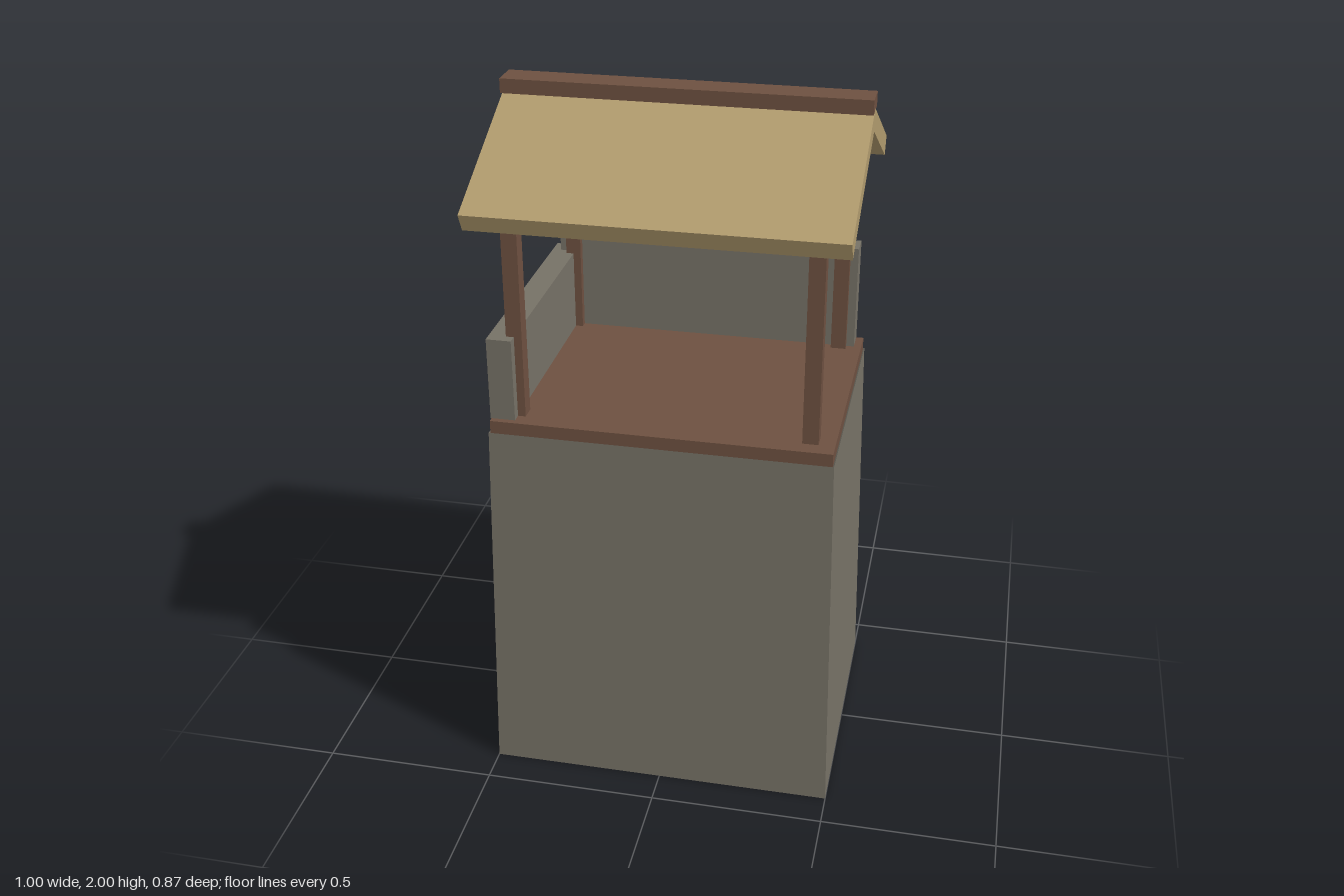
import * as THREE from 'three';

export function createModel() {
  const model = new THREE.Group();
  model.name = 'watchtower';

  const material = (name, color, side = THREE.FrontSide) => {
    const m = new THREE.MeshStandardMaterial({ color, side, flatShading: true });
    m.name = name;
    return m;
  };
  const stone = material('stone', 0x767166, THREE.DoubleSide);
  const wood = material('wood', 0x6d5040);
  const thatch = material('thatch', 0xb09a6d);

  const add = (name, geometry, mat) => {
    const mesh = new THREE.Mesh(geometry, mat);
    mesh.name = name;
    model.add(mesh);
    return mesh;
  };
  // Box given by its min and max corners
  const box = (name, mat, [x0, y0, z0], [x1, y1, z1]) =>
    add(name, new THREE.BoxGeometry(x1 - x0, y1 - y0, z1 - z0), mat)
      .position.set((x0 + x1) / 2, (y0 + y1) / 2, (z0 + z1) / 2);

  // Tapered tower shell, open underneath
  const baseHeight = 1.105;
  const shell = new THREE.CylinderGeometry(Math.SQRT1_2, Math.SQRT1_2, baseHeight, 4, 1, true);
  shell.rotateY(Math.PI / 4);
  shell.translate(0, baseHeight / 2, 0);
  const p = shell.attributes.position;
  for (let i = 0; i < p.count; i++) {
    const top = p.getY(i) > baseHeight / 2;
    p.setX(i, Math.sign(p.getX(i)) * (top ? 0.476 : 0.5));
    p.setZ(i, Math.sign(p.getZ(i)) * (top ? 0.376 : 0.4));
  }
  shell.computeVertexNormals();
  add('towerBase', shell, stone);

  // Deck and the two parapet walls
  box('deck', wood, [-0.472, 1.1, -0.372], [0.472, 1.14, 0.372]);
  box('backParapet', stone, [-0.45, 1.14, -0.374], [0.45, 1.452, -0.305]);
  box('rightParapet', stone, [-0.475, 1.14, -0.355], [-0.405, 1.378, 0.355]);

  // Corner posts
  for (const [sx, side] of [[-1, 'Right'], [1, 'Left']]) {
    for (const [sz, end] of [[-1, 'back'], [1, 'front']]) {
      const x = sx * 0.405, z = sz * 0.305, h = 0.022;
      box(`${end}${side}Post`, wood, [x - h, 1.14, z - h], [x + h, 1.755, z + h]);
    }
  }

  // Two roof slopes, extruded along x from a slab outline in (z, y)
  for (const [s, name] of [[1, 'frontRoofSlope'], [-1, 'backRoofSlope']]) {
    const outline = [[0, 1.967], [0.435, 1.757], [0.409, 1.707], [0, 1.904]];
    const shape = new THREE.Shape(outline.map(([z, y]) => new THREE.Vector2(-s * z, y)));
    const slab = new THREE.ExtrudeGeometry(shape, { depth: 1, bevelEnabled: false });
    slab.translate(0, 0, -0.5);
    slab.rotateY(Math.PI / 2);
    add(name, slab, thatch);
  }

  // Ridge cap and the beam beneath the roof
  box('ridgeCap', wood, [-0.5, 1.96, -0.044], [0.5, 2, 0.044]);
  box('tieBeam', wood, [-0.467, 1.715, -0.02], [0.467, 1.755, 0.02]);

  return model;
}
